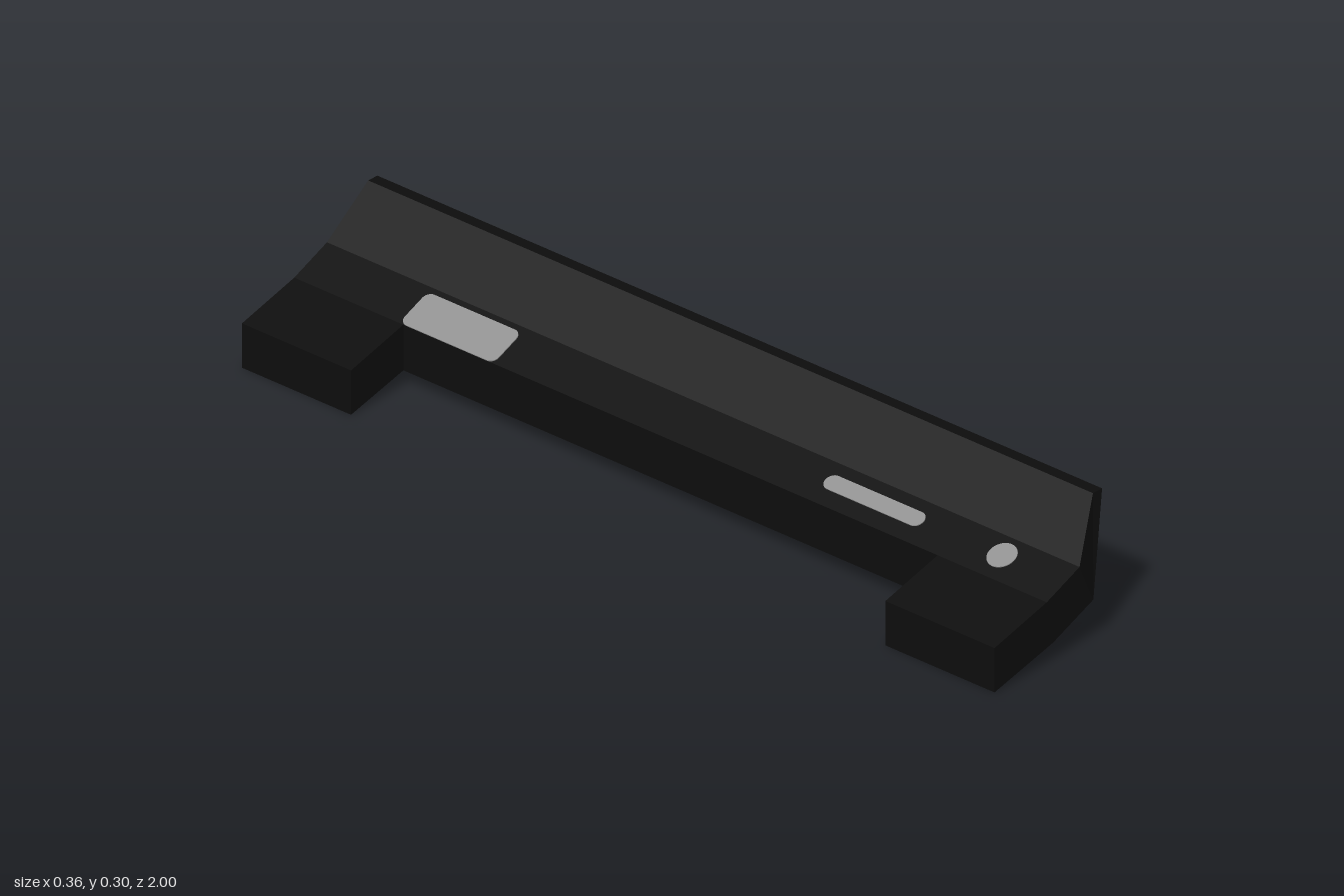
import * as THREE from 'three';

const black = new THREE.MeshStandardMaterial({ color: 0x0d0d0d });
black.name = 'black plastic';
const grey = new THREE.MeshStandardMaterial({ color: 0x909090 });
grey.name = 'grey insert';

const SLOPE = Math.atan2(0.04, 0.097); // tilt of the middle band
const THICK = 0.098;                   // body thickness across that band

// Extrude an x-y outline between two z positions
function slab(name, points, z0, z1) {
  const shape = new THREE.Shape(points.map(([x, y]) => new THREE.Vector2(x, y)));
  const geo = new THREE.ExtrudeGeometry(shape, { depth: z1 - z0, bevelEnabled: false });
  geo.translate(0, 0, z0);
  const mesh = new THREE.Mesh(geo, black);
  mesh.name = name;
  return mesh;
}

// Rounded insert running through the body, square to the sloping band
function insert(name, x, z, width, length, radius) {
  const a = width / 2 - radius, b = length / 2 - radius;
  const s = new THREE.Shape();
  s.absarc(a, b, radius, 0, Math.PI / 2);
  s.absarc(-a, b, radius, Math.PI / 2, Math.PI);
  s.absarc(-a, -b, radius, Math.PI, Math.PI * 1.5);
  s.absarc(a, -b, radius, Math.PI * 1.5, Math.PI * 2);
  const depth = THICK + 0.004;
  const geo = new THREE.ExtrudeGeometry(s, { depth, bevelEnabled: false, curveSegments: 8 });
  geo.translate(0, 0, -depth / 2);
  geo.rotateX(-Math.PI / 2);
  geo.rotateZ(SLOPE);
  const mesh = new THREE.Mesh(geo, grey);
  mesh.name = name;
  const topY = 0.14 + (x + 0.025) * Math.tan(SLOPE);
  mesh.position.set(x + Math.sin(SLOPE) * THICK / 2, topY - Math.cos(SLOPE) * THICK / 2, z);
  return mesh;
}

export function createModel() {
  const group = new THREE.Group();
  group.name = 'angledBracket';

  // Long rail with its raised lip
  const rail = slab('rail', [
    [-0.025, 0.037], [-0.005, 0.042], [0.113, 0.09], [0.18, 0.3],
    [0.153, 0.3], [0.072, 0.18], [-0.025, 0.14],
  ], -1, 1);

  // Taper the ends of the lip
  const pos = rail.geometry.attributes.position;
  for (let i = 0; i < pos.count; i++) {
    if (pos.getY(i) > 0.29) pos.setZ(i, Math.sign(pos.getZ(i)) * 0.963);
  }
  rail.geometry.computeVertexNormals();
  group.add(rail);

  // Feet reaching out at both ends
  const foot = [[-0.18, 0], [-0.025, 0.037], [-0.025, 0.14], [-0.18, 0.1]];
  group.add(slab('frontFoot', foot, 0.71, 1));
  group.add(slab('backFoot', foot, -1, -0.71));

  // Square window, slot and round button
  group.add(insert('squareInsert', 0.017, -0.595, 0.091, 0.25, 0.018));
  group.add(insert('slotInsert', 0.028, 0.495, 0.038, 0.26, 0.0189));
  group.add(insert('roundInsert', 0.029, 0.833, 0.064, 0.064, 0.0319));

  return group;
}
